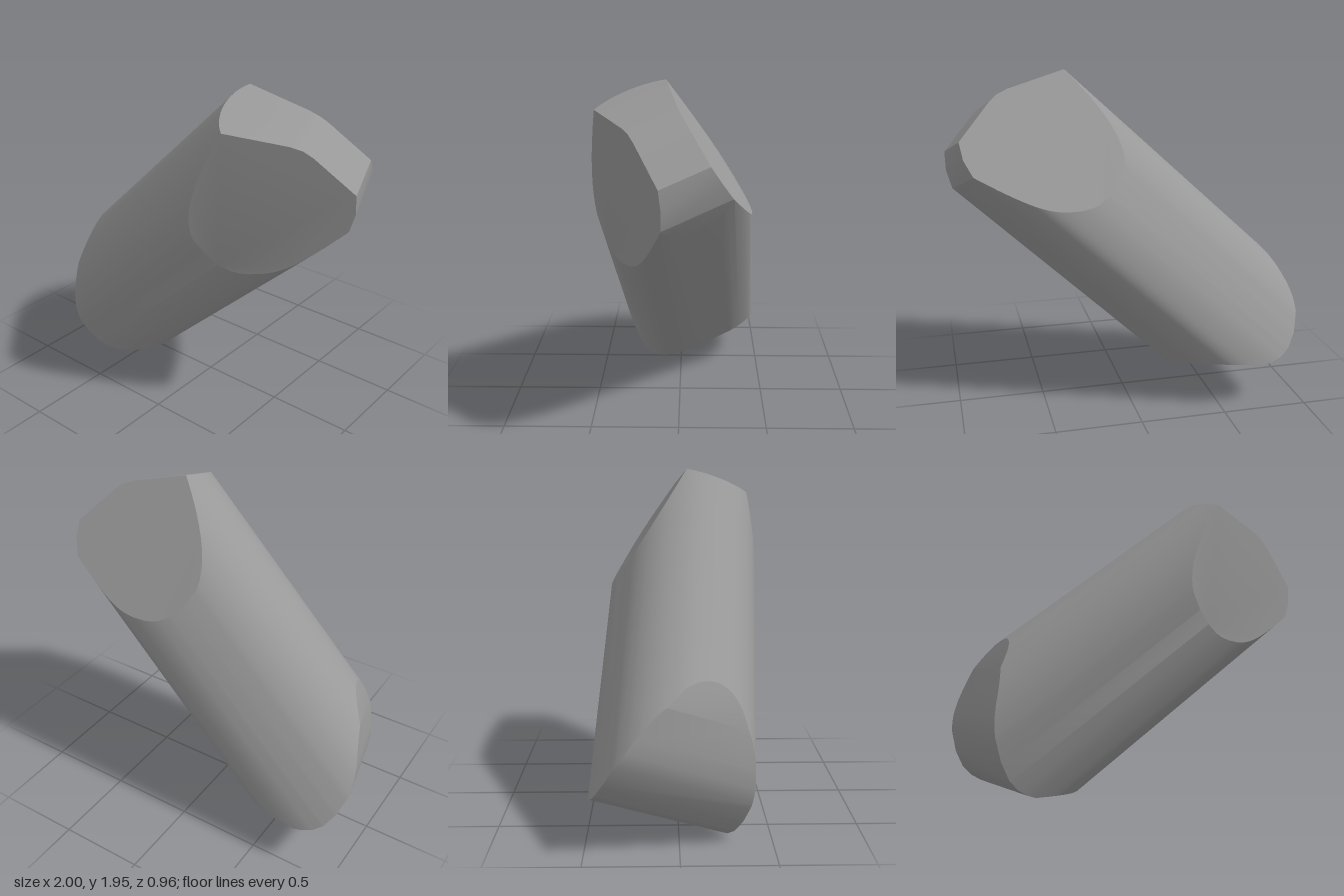
import * as THREE from 'three';
import { ConvexGeometry } from 'three/addons/geometries/ConvexGeometry.js';
import { toCreasedNormals } from 'three/addons/utils/BufferGeometryUtils.js';

// The bar's own frame: along its length, across its width, and down to its flat underside
const AXIS = new THREE.Vector3(0.733, 0.678, 0.059).normalize();
const WIDE = new THREE.Vector3(-0.261, 0.346, -0.901).projectOnPlane(AXIS).normalize();
const DOWN = new THREE.Vector3().crossVectors(WIDE, AXIS);
const CENTRE = 0.333; // middle of the width along WIDE

// Half-space t * along + w * across + q * down <= c
function plane(t, w, q, c) {
  const n = AXIS.clone().multiplyScalar(t).addScaledVector(WIDE, w).addScaledVector(DOWN, q);
  const size = n.length();
  return { n: n.divideScalar(size), c: (c + w * CENTRE) / size };
}

// Domed cross-section with a flat underside (across, down), mirrored
function sidePlanes(count) {
  const half = [
    [0.12, -1.114], [0.204, -1.078], [0.29, -1.008], [0.35, -0.925], [0.39, -0.82],
    [0.402, -0.71], [0.404, -0.58], [0.385, -0.45], [0.32, -0.315], [0.17, -0.243],
  ];
  const mirrored = half.map(([w, q]) => [-w, q]).reverse();
  const outline = [[0, -1.13], ...half, [0, -0.235], ...mirrored].map((p) => new THREE.Vector3(p[0], p[1], 0));
  const samples = new THREE.CatmullRomCurve3(outline, true).getPoints(240);
  const planes = [];
  for (let i = 0; i < count; i++) {
    const a = (i / count) * Math.PI * 2;
    const c = Math.cos(a), s = Math.sin(a);
    planes.push(plane(0, c, s, Math.max(...samples.map((p) => p.x * c + p.y * s))));
  }
  return planes;
}

// Side outline (along, down): roof, nose, underside and rounded lower end
function outlinePlanes() {
  const outline = [
    [1.51, -1.145], [1.725, -0.785], [1.75, -0.725], [1.758, -0.66], [1.754, -0.37],
    [1.68, -0.298], [1.587, -0.25], [1.47, -0.235], [-0.12, -0.235], [-0.4, -0.43],
    [-0.43, -0.47], [-0.458, -0.53], [-0.468, -0.6], [-0.45, -0.7], [-0.4, -0.82],
    [-0.35, -0.885], [-0.29, -0.94], [-0.13, -1.06], [0.09, -1.145],
  ];
  return outline.map(([t, q], i) => {
    const [t2, q2] = outline[(i + 1) % outline.length];
    const nt = q2 - q, nq = t - t2;
    return plane(nt, 0, nq, nt * t + nq * q);
  });
}

// Mirrored bevels that narrow the upper end to a chisel
const bevels = () => [-1, 1].map((side) => plane(0.34, side, 0, 0.735));

// Corner points of the solid bounded by all planes
function cornerPoints(planes) {
  const found = new Map();
  const bc = new THREE.Vector3(), ca = new THREE.Vector3(), ab = new THREE.Vector3();
  for (let i = 0; i < planes.length; i++) {
    for (let j = i + 1; j < planes.length; j++) {
      ab.crossVectors(planes[i].n, planes[j].n);
      for (let k = j + 1; k < planes.length; k++) {
        const det = ab.dot(planes[k].n);
        if (Math.abs(det) < 1e-5) continue;
        bc.crossVectors(planes[j].n, planes[k].n);
        ca.crossVectors(planes[k].n, planes[i].n);
        const p = new THREE.Vector3()
          .addScaledVector(bc, planes[i].c)
          .addScaledVector(ca, planes[j].c)
          .addScaledVector(ab, planes[k].c)
          .divideScalar(det);
        if (planes.every((h) => h.n.dot(p) <= h.c + 1e-6)) {
          found.set(p.toArray().map((v) => Math.round(v * 500)).join(), p);
        }
      }
    }
  }
  return [...found.values()];
}

export function createModel() {
  const group = new THREE.Group();
  group.name = 'chiselledBar';
  const grey = new THREE.MeshStandardMaterial({ color: 0x999999 });
  grey.name = 'grey';

  const points = cornerPoints([...sidePlanes(72), ...outlinePlanes(), ...bevels()]);
  const geometry = toCreasedNormals(new ConvexGeometry(points), 0.33);
  const bar = new THREE.Mesh(geometry, grey);
  bar.name = 'bar';
  group.add(bar);
  return group;
}
